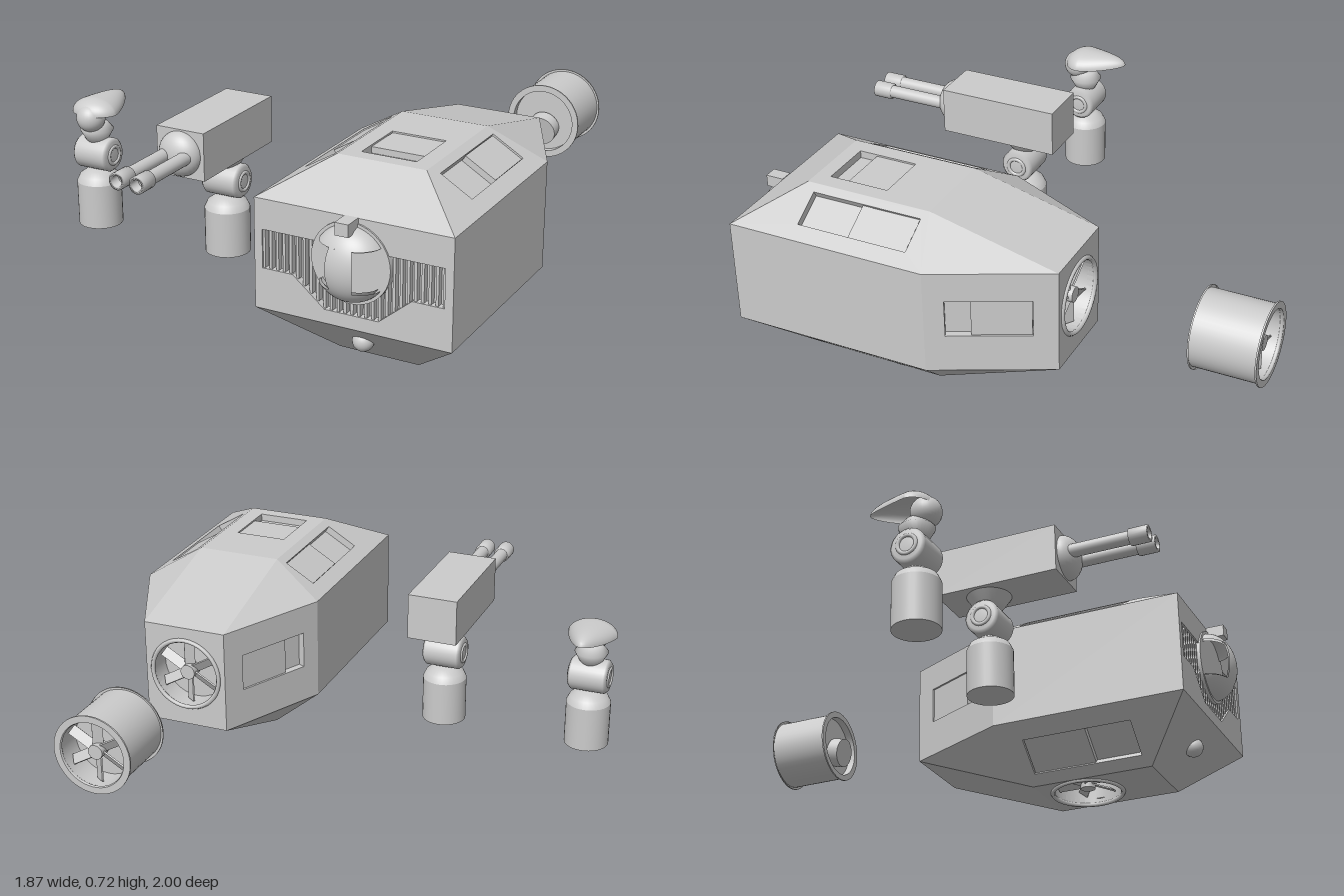
import * as THREE from 'three';

const grey = new THREE.MeshStandardMaterial({ color: 0xcccccc });
const flat = new THREE.MeshStandardMaterial({ color: 0xcccccc, flatShading: true });
const thin = new THREE.MeshStandardMaterial({ color: 0xcccccc, side: THREE.DoubleSide });
const V = (x, y, z) => new THREE.Vector3(x, y, z);
const DEPTH = 0.03;

function add(parent, name, geo, mat, x = 0, y = 0, z = 0) {
  const m = new THREE.Mesh(geo, mat);
  m.name = name;
  m.position.set(x, y, z);
  parent.add(m);
  return m;
}
const lathe = (pts, seg = 32) => new THREE.LatheGeometry(pts.map(p => new THREE.Vector2(...p)), seg);
// cylinder lying along z
const rod = (r, len, seg = 32, open = false) => new THREE.CylinderGeometry(r, r, len, seg, 1, open).rotateX(Math.PI / 2);
const rect = (u0, v0, u1, v1) => [[u0, v0], [u1, v0], [u1, v1], [u0, v1]];
const circle = (u, v, r) => Array.from({ length: 40 }, (_, i) =>
  [u + r * Math.cos(i * Math.PI / 20), v + r * Math.sin(i * Math.PI / 20)]);

// Hull face as a plate; local origin is the middle of its first edge, u along that edge
function plate(parent, name, corners, hole, { floor = true, door } = {}) {
  const c = corners.map(p => V(...p));
  const u = c[1].clone().sub(c[0]).normalize();
  const n = u.clone().cross(c[2].clone().sub(c[0])).normalize();
  const v = n.clone().cross(u);
  const o = c[0].clone().add(c[1]).multiplyScalar(0.5);
  const path = pts => pts.map(p => new THREE.Vector2(...p));
  const shape = new THREE.Shape(c.map(p => {
    const d = p.clone().sub(o);
    return new THREE.Vector2(d.dot(u), d.dot(v));
  }));
  if (hole) shape.holes.push(new THREE.Path(path(hole)));
  const g = new THREE.Group();
  g.name = name;
  g.quaternion.setFromRotationMatrix(new THREE.Matrix4().makeBasis(u, v, n));
  g.position.copy(o).addScaledVector(n, -DEPTH);
  parent.add(g);
  add(g, name + 'Plate', new THREE.ExtrudeGeometry(shape, { depth: DEPTH, bevelEnabled: false }), flat);
  if (hole && floor) add(g, name + 'RecessFloor', new THREE.ShapeGeometry(new THREE.Shape(path(hole))), thin, 0, 0, 0.002);
  if (door) {
    const [u0, v0, u1, v1] = door;
    add(g, name + 'SlidingDoor', new THREE.BoxGeometry(Math.abs(u1 - u0), v1 - v0, DEPTH - 0.005), flat,
      (u0 + u1) / 2, (v0 + v1) / 2, DEPTH / 2 - 0.0025);
  }
}

// Ducted fan whose mouth faces +z
function fan(name, r, depth) {
  const g = new THREE.Group();
  g.name = name;
  add(g, 'duct', rod(r, depth, 40, true), thin, 0, 0, -depth / 2);
  add(g, 'ductFloor', new THREE.CircleGeometry(r, 40), thin, 0, 0, -depth);
  add(g, 'mouthRing', new THREE.TorusGeometry(r + 0.006, 0.009, 6, 40), grey);
  add(g, 'hub', rod(r * 0.22, 0.05), grey, 0, 0, -0.04);
  for (let i = 0; i < 6; i++) {
    const blade = new THREE.BoxGeometry(r * 0.3, r * 0.8, 0.006);
    blade.rotateY(0.6).translate(0, r * 0.55, 0).rotateZ(i * Math.PI / 3);
    add(g, 'fanBlade', blade, flat, 0, 0, -0.04);
  }
  return g;
}

function hull() {
  const g = new THREE.Group();
  g.name = 'hull';
  const W = 0.365, T = 0.165, D = 0.15, LO = 0.2, HI = 0.6, TOP = 0.72, BOT = 0.01;
  const F = 0.9, M = 0.13, B = -0.29, Z1 = 0.69, Z2 = 0.2;

  // plates on both flanks
  for (const s of [1, -1]) {
    const both = (name, c, h, d) => {
      const k = s > 0 ? c : [c[1], c[0], ...c.slice(2).reverse()].map(([x, y, z]) => [-x, y, z]);
      const f = ([a, b, e, t]) => s > 0 ? [a, b, e, t] : [-e, b, -a, t];
      plate(g, name, k, h && rect(...f(h)), { door: d && f(d) });
    };
    both('side', [[W, LO, F], [W, LO, M], [W, HI, M], [W, HI, F]]);
    both('roofSlope', [[W, HI, F], [W, HI, M], [T, TOP, Z2], [T, TOP, Z1]],
      [-0.135, 0.064, 0.295, 0.198], [0.065, 0.066, 0.292, 0.196]);
    both('bellySlope', [[W, LO, M], [W, LO, F], [D, BOT, Z1], [D, BOT, Z2]],
      [-0.29, 0.083, 0.15, 0.234], [-0.287, 0.085, -0.035, 0.232]);
    both('rearSide', [[W, LO, M], [T, LO, B], [T, HI, B], [W, HI, M]],
      [-0.16, 0.145, 0.145, 0.288], [-0.07, 0.147, 0.142, 0.286]);
    both('rearRoofCorner', [[W, HI, M], [T, HI, B], [T, TOP, Z2]]);
    both('rearBellyCorner', [[T, LO, B], [W, LO, M], [D, BOT, Z2]]);
  }
  // plates on the centre line
  plate(g, 'roof', [[-T, TOP, Z1], [T, TOP, Z1], [T, TOP, Z2], [-T, TOP, Z2]],
    rect(-0.102, 0.055, 0.102, 0.285), { door: [-0.1, 0.125, 0.1, 0.283] });
  plate(g, 'frontRoof', [[-W, HI, F], [W, HI, F], [T, TOP, Z1], [-T, TOP, Z1]]);
  plate(g, 'frontBelly', [[-D, BOT, Z1], [D, BOT, Z1], [W, LO, F], [-W, LO, F]]);
  plate(g, 'rearRoof', [[T, HI, B], [-T, HI, B], [-T, TOP, Z2], [T, TOP, Z2]]);
  plate(g, 'rearBelly', [[D, BOT, Z2], [-D, BOT, Z2], [-T, LO, B], [T, LO, B]]);
  plate(g, 'belly', [[-D, BOT, Z2], [D, BOT, Z2], [D, BOT, Z1], [-D, BOT, Z1]], circle(0, 0.17, 0.132), { floor: false });
  plate(g, 'rear', [[T, LO, B], [-T, LO, B], [-T, HI, B], [T, HI, B]], circle(0, 0.21, 0.132), { floor: false });
  plate(g, 'front', [[-W, LO, F], [W, LO, F], [W, HI, F], [-W, HI, F]],
    [[-0.345, 0.29], [-0.345, 0.15], [-0.22, 0.15], [-0.1, 0.05], [0.1, 0.05], [0.22, 0.15], [0.345, 0.15], [0.345, 0.29]]);

  // upright ribs in the front grille
  for (let i = -13; i <= 13; i++) {
    const x = i * 0.0255, a = Math.abs(x);
    const low = a > 0.22 ? 0.35 : a < 0.1 ? 0.25 : 0.25 + (a - 0.1) / 1.2;
    add(g, 'grilleRib', new THREE.BoxGeometry(0.01, 0.49 - low, 0.022), flat, x, (0.49 + low) / 2, 0.883);
  }

  // domed eye with a window on each side
  const eye = new THREE.Group();
  eye.name = 'eye';
  eye.position.set(0, 0.44, 0.9);
  g.add(eye);
  add(eye, 'eyeBase', rod(0.145, 0.035, 40), grey, 0, 0, -0.011);
  const cap = Math.PI / 2 - 0.59;
  for (const [name, p, pl, t, tl] of [['domeTop', 0, Math.PI, 0, cap], ['domeBottom', 0, Math.PI, Math.PI - cap, cap],
    ['domeStrap', Math.PI / 2 - 0.38, 0.76, cap, 1.18]]) {
    for (const r of [0.134, 0.124])
      add(eye, name, new THREE.SphereGeometry(r, 28, 14, p, pl, t, tl).scale(1, 1, 0.745), thin);
  }
  add(g, 'eyeLatch', new THREE.BoxGeometry(0.05, 0.045, 0.07), flat, 0, 0.58, 0.935);
  add(g, 'lowerLamp', new THREE.SphereGeometry(0.038, 24, 16), grey, 0, 0.12, 0.81);

  const rearFan = fan('rearFan', 0.132, 0.09);
  rearFan.position.set(0, 0.41, B);
  rearFan.rotation.y = Math.PI;
  const bellyFan = fan('bellyFan', 0.132, 0.09);
  bellyFan.position.set(0, BOT, 0.37);
  bellyFan.rotation.x = Math.PI / 2;
  g.add(rearFan, bellyFan);
  return g;
}

// Detached thruster
function pod() {
  const g = new THREE.Group();
  g.name = 'thruster';
  add(g, 'casing', rod(0.14, 0.245, 48, true), thin);
  for (const z of [-0.12, 0.12]) add(g, 'rim', new THREE.CylinderGeometry(0.15, 0.15, 0.006, 48, 1, true).rotateX(Math.PI / 2), thin, 0, 0, z);
  for (const z of [-0.123, 0.123]) add(g, 'rimFace', new THREE.RingGeometry(0.125, 0.15, 48), thin, 0, 0, z);
  add(g, 'frontDuct', rod(0.125, 0.03, 48, true), thin, 0, 0, 0.108);
  add(g, 'frontPlate', new THREE.CircleGeometry(0.125, 48), thin, 0, 0, 0.093);
  add(g, 'tiltedKnob', rod(0.06, 0.05), grey, 0, -0.03, 0.118).rotation.x = 0.22;
  const f = fan('thrusterFan', 0.125, 0.1);
  f.rotation.y = Math.PI;
  f.position.z = -0.115;
  g.add(f);
  return g;
}

// Jointed stand shared by both turrets
function stand(name, x) {
  const g = new THREE.Group();
  g.name = name;
  g.position.set(x, 0, 0.33);
  add(g, 'post', lathe([[0, 0.1], [0.086, 0.1], [0.086, 0.1], [0.086, 0.275], [0.086, 0.275], [0.074, 0.3], [0.045, 0.32], [0, 0.328]]), grey);
  add(g, 'joint', lathe([[0, -0.076], [0.055, -0.076], [0.066, -0.065], [0.066, 0.065], [0.055, 0.076], [0, 0.076]])
    .rotateZ(Math.PI / 2), grey, 0, 0.388, 0);
  for (const s of [-1, 1])
    add(g, 'jointRing', new THREE.TorusGeometry(0.034, 0.008, 8, 28).rotateY(Math.PI / 2), grey, s * 0.074, 0.388, 0);
  return g;
}

function gunTurret() {
  const g = stand('gunTurret', -0.255);
  add(g, 'swivel', lathe([[0, 0.43], [0.04, 0.435], [0.06, 0.46], [0.085, 0.497]]), grey);
  add(g, 'gunBox', new THREE.BoxGeometry(0.196, 0.18, 0.475), flat, 0, 0.585, 0.068);
  add(g, 'gunDome', new THREE.SphereGeometry(0.084, 32, 20).scale(1, 1, 0.7), grey, 0, 0.585, 0.305);
  for (const s of [-1, 1]) {
    add(g, 'barrel', rod(0.025, 0.3), grey, s * 0.041, 0.585, 0.45);
    add(g, 'muzzle', lathe([[0, -0.035], [0.032, -0.035], [0.032, 0.035], [0.02, 0.035], [0.02, -0.01], [0, -0.01]], 24)
      .rotateX(Math.PI / 2), grey, s * 0.041, 0.585, 0.605);
  }
  return g;
}

function lampTurret() {
  const g = stand('lampTurret', -0.84);
  add(g, 'neck', lathe([[0, 0.43], [0.04, 0.44], [0.065, 0.485], [0.04, 0.515], [0, 0.52]]), grey);
  add(g, 'lampBall', new THREE.SphereGeometry(0.056, 28, 20), grey, 0, 0.54, 0.035);
  // teardrop hood drawn out to a point at the back
  const hood = new THREE.SphereGeometry(1, 40, 12, 0, Math.PI * 2, 0, Math.PI / 2);
  const p = hood.attributes.position;
  for (let i = 0; i < p.count; i++) {
    const x = p.getX(i), y = p.getY(i), z = p.getZ(i), back = Math.max(0, -z);
    p.setXYZ(i, 0.096 * x * (1 - 0.45 * back), 0.555 + 0.058 * y + 0.02 * back * back, z > 0 ? 0.075 * z : 0.18 * z);
  }
  hood.computeVertexNormals();
  add(g, 'hood', hood, thin);
  return g;
}

export function createModel() {
  const root = new THREE.Group();
  root.name = 'pod';
  const h = hull(), p = pod();
  h.position.x = 0.57;
  p.position.set(0.57, 0.415, -0.877);
  root.add(h, p, gunTurret(), lampTurret());
  return root;
}
